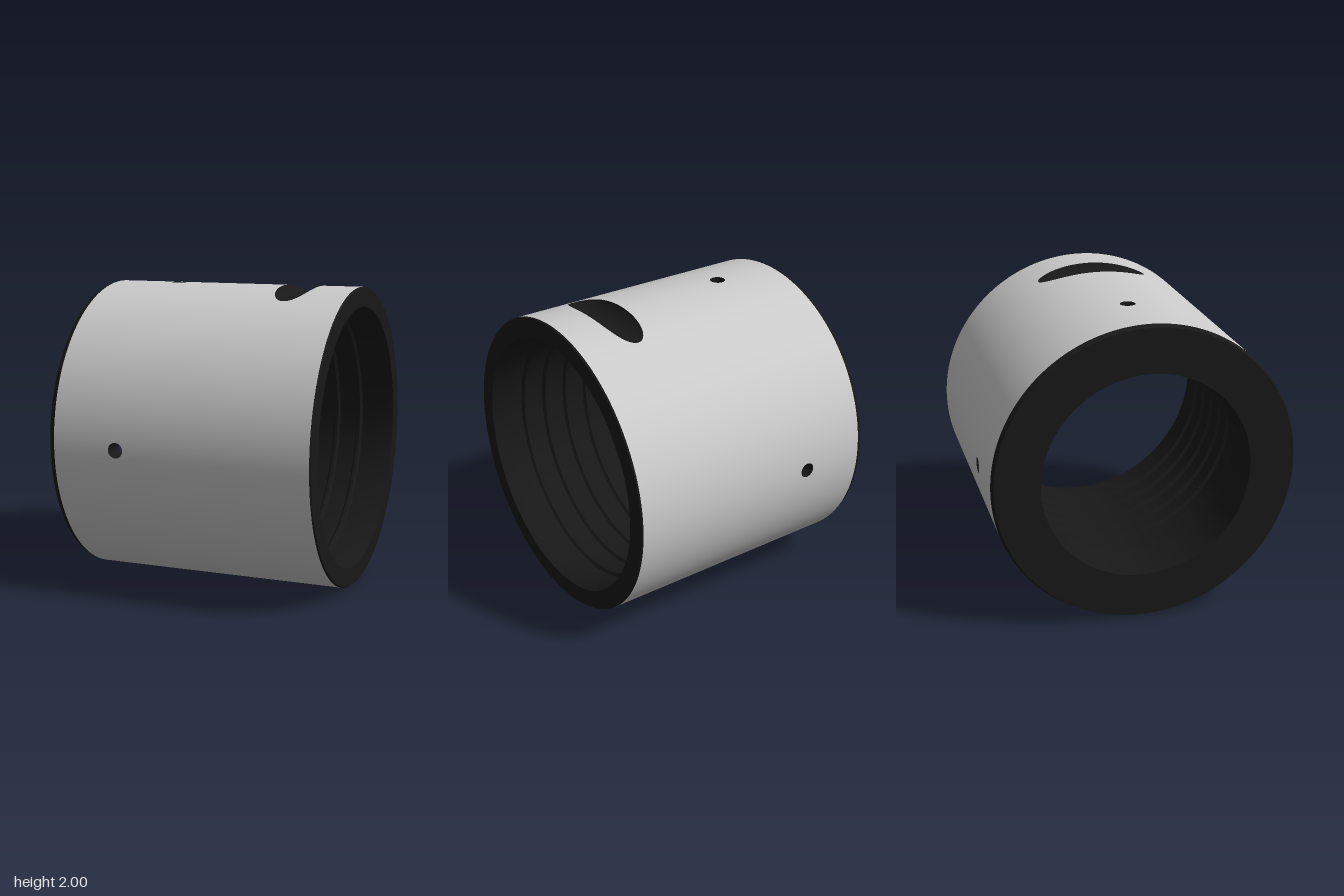
import * as THREE from 'three';
import { mergeGeometries, toCreasedNormals } from 'three/addons/utils/BufferGeometryUtils.js';
import { ParametricGeometry } from 'three/addons/geometries/ParametricGeometry.js';

const STEP = Math.PI / 128;      // angular step shared by all round surfaces
const BORE = 0.855;              // radius of the threaded bore
const HOLE = { x: -0.415, r: 0.05 };
const CUT = { x: 0.485, r: 0.142, y: 1.067, half: 0.1252 }; // cross cut on top
const { sin, cos, PI } = Math;

// Point on the sleeve: radius, angle from the top, position along the axis
const onSleeve = (p, r, angle, x) => p.set(x, 1 + r * cos(angle), r * sin(angle));

// Part of a cylinder wall, facing out, or in when flipped
function band(r, x0, x1, a0, a1, flip = false) {
  const n = Math.round((a1 - a0) / STEP);
  return new ParametricGeometry((u, v, p) => {
    const t = flip ? 1 - u : u;
    onSleeve(p, r, a0 + (a1 - a0) * t, x0 + (x1 - x0) * v);
  }, n, 2);
}

// Walk round the square from -1 to 1
function square(t) {
  const s = Math.min(3, Math.floor(t * 4)), f = (t * 4 - s) * 2 - 1;
  return [[1, f], [-f, 1], [-1, -f], [f, -1]][s];
}

// Outlines of the openings as [angle, x offset]
const roundHole = (a, r) => [Math.asin(HOLE.r * cos(a) / r), HOLE.r * sin(a)];
const cutHeight = dx => CUT.y - Math.sqrt(CUT.r ** 2 - dx ** 2);
const crossCut = a => {
  const dx = CUT.half * sin(a);
  return [Math.sign(cos(a)) * Math.acos(Math.min(1, cutHeight(dx))), dx];
};

// Rectangular piece of wall with an opening in it
function pierced(r, angle, x, halfAngle, halfX, outline, perSide, flip = false) {
  return new ParametricGeometry((u, v, p) => {
    const [sa, sx] = square(flip ? 1 - v : v);
    const [ha, hx] = outline(Math.atan2(sx, sa), r);
    onSleeve(p, r, angle + ha + (sa * halfAngle - ha) * u, x + hx + (sx * halfX - hx) * u);
  }, 4, perSide * 4);
}

// Ring of wall holding the four small holes
function drilledRing(r, flip) {
  const half = 4 * STEP, parts = [];
  for (let i = 0; i < 4; i++) {
    const a = i * PI / 2;
    parts.push(pierced(r, a, HOLE.x, half, 0.1, roundHole, 8, flip));
    parts.push(band(r, HOLE.x - 0.1, HOLE.x + 0.1, a + half, a + PI / 2 - half, flip));
  }
  return parts;
}

// Profile of [radius, x] points turned about the x axis
function turned(profile) {
  const g = new THREE.LatheGeometry(profile.map(([r, x]) => new THREE.Vector2(r, x)), 256);
  g.rotateZ(-PI / 2).translate(0, 1, 0);
  return toCreasedNormals(g, 0.4);
}

export function createModel() {
  const group = new THREE.Group();
  const grey = new THREE.MeshStandardMaterial({ color: 0xcccccc });
  const black = new THREE.MeshStandardMaterial({ color: 0x181818 });
  const add = (name, geometry, material) => {
    const mesh = new THREE.Mesh(geometry, material);
    mesh.name = name;
    group.add(mesh);
  };

  // Outer wall, in rings so the openings can be left in it
  const cutAngle = 18 * STEP, cutX = 0.16;
  add('outerWall', mergeGeometries([
    band(1, -0.855, HOLE.x - 0.1, 0, 2 * PI),
    ...drilledRing(1, false),
    band(1, HOLE.x + 0.1, CUT.x - cutX, 0, 2 * PI),
    pierced(1, 0, CUT.x, cutAngle, cutX, crossCut, 36),
    band(1, CUT.x - cutX, CUT.x + cutX, cutAngle, 2 * PI - cutAngle),
    band(1, CUT.x + cutX, 0.88, 0, 2 * PI),
  ]), grey);

  // Bevelled end with the narrow collar
  add('collarEnd', turned([
    [BORE, HOLE.x - 0.1], [BORE, -0.55], [0.69, -0.55], [0.69, -0.89], [0.985, -0.89], [1, -0.855],
  ]), black);

  // Open end and bore with its thread ridges
  const thread = [[1, 0.88], [0.993, 0.89], [0.87, 0.89], [BORE, 0.8]];
  for (let i = 0; i < 5; i++) {
    const x = 0.64 - i * 0.17;
    thread.push([BORE, x + 0.025], [0.835, x + 0.01], [0.835, x - 0.01], [BORE, x - 0.025]);
  }
  thread.push([BORE, HOLE.x + 0.1]);
  add('threadedBore', turned(thread), black);
  add('drilledBore', mergeGeometries(drilledRing(BORE, true)), black);

  // Walls of the small holes
  for (let i = 0; i < 4; i++) {
    add('holeWall', new ParametricGeometry((u, v, p) => {
      const r = BORE + (1 - BORE) * u, [sa, sx] = square(v);
      const [a, dx] = roundHole(Math.atan2(sx, sa), r);
      onSleeve(p, r, i * PI / 2 + a, HOLE.x + dx);
    }, 2, 32), black);
  }

  // Curved floor of the cross cut
  add('cutFloor', new ParametricGeometry((u, v, p) => {
    const dx = CUT.half * sin((v - 0.5) * PI), y = cutHeight(dx);
    const z = Math.sqrt(Math.max(0, 1 - y * y));
    p.set(CUT.x + dx, 1 + y, z * (2 * u - 1));
  }, 4, 72), black);

  return group;
}
